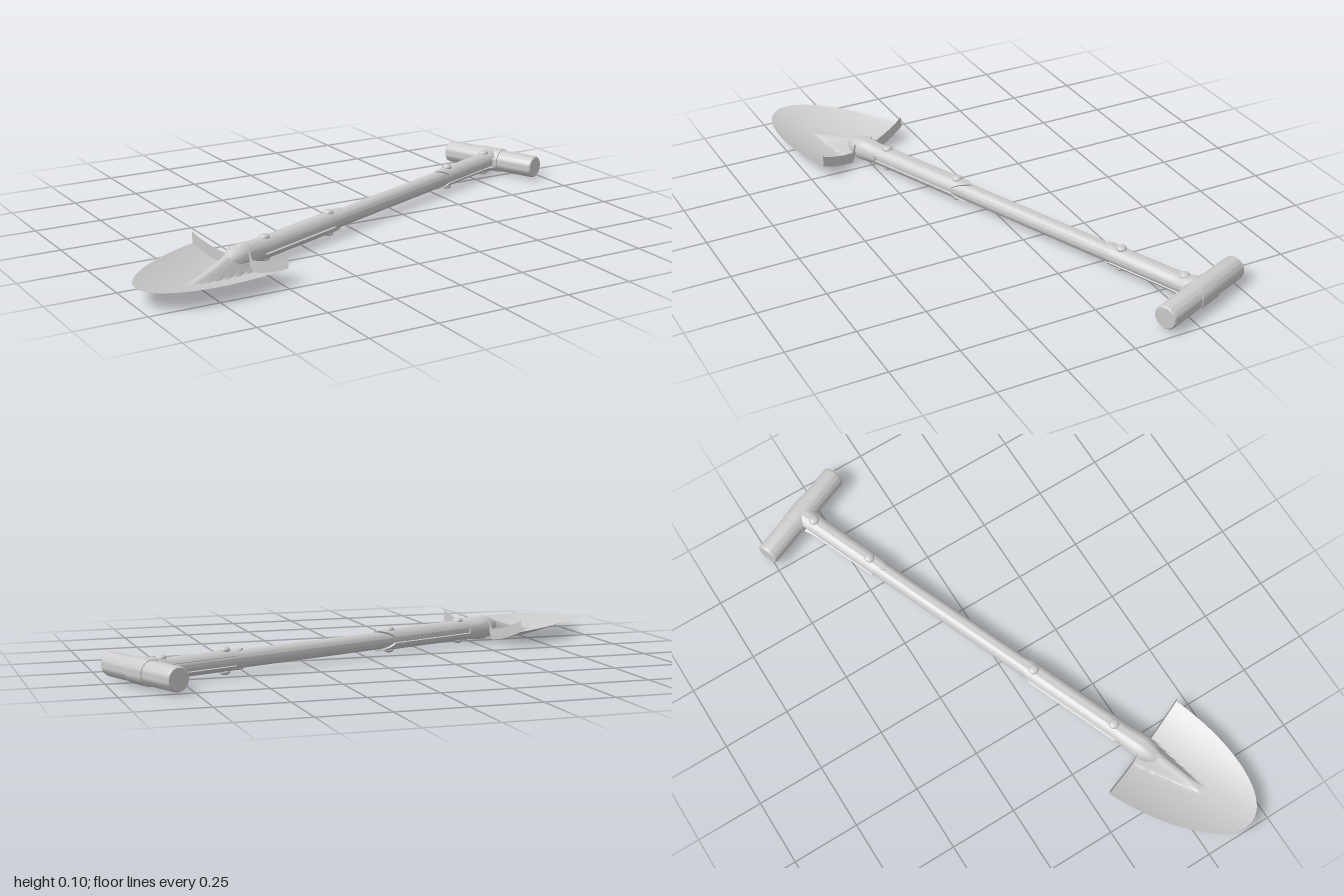
import * as THREE from 'three';
import { toCreasedNormals } from 'three/addons/utils/BufferGeometryUtils.js';

const AXIS_Y = 0.052, SHAFT_R = 0.032;
const mat = new THREE.MeshStandardMaterial({ color: 0xcccccc });
const sheetMat = new THREE.MeshStandardMaterial({ color: 0xcccccc, side: THREE.DoubleSide });

// Surface through an nu x nv grid of points given by fn(i, j)
function grid(nu, nv, fn) {
  const pos = [], idx = [];
  for (let i = 0; i <= nu; i++) {
    for (let j = 0; j <= nv; j++) {
      pos.push(...fn(i, j));
      if (i < nu && j < nv) {
        const a = i * (nv + 1) + j, b = a + nv + 1;
        idx.push(a, a + 1, b, b, a + 1, b + 1);
      }
    }
  }
  const g = new THREE.BufferGeometry();
  g.setAttribute('position', new THREE.Float32BufferAttribute(pos, 3));
  g.setIndex(idx);
  return toCreasedNormals(g, 0.7);
}

// Round body along the shaft from [radius, distance] pairs
function turned(points) {
  const g = new THREE.LatheGeometry(points.map(p => new THREE.Vector2(...p)), 32);
  return toCreasedNormals(g.rotateZ(-Math.PI / 2).translate(0, AXIS_Y, 0), 0.6);
}

// Part-round strap hugging the shaft; its border folds in to meet the wood
function strap(side, gap, from, to, radius) {
  const nu = 28, nv = 24;
  return grid(nu, nv, (i, j) => {
    const u = THREE.MathUtils.clamp((i - 1) / (nu - 2), 0, 1);
    const v = THREE.MathUtils.clamp((j - 1) / (nv - 2), 0, 1);
    const a = gap + (Math.PI - 2 * gap) * v;
    const c = Math.abs(Math.cos(a));
    const x = THREE.MathUtils.lerp(from(c), to(c), u);
    const border = i === 0 || i === nu || j === 0 || j === nv;
    const r = border ? SHAFT_R - 0.001 : radius(x);
    return [x, AXIS_Y + side * r * Math.sin(a), r * Math.cos(a)];
  });
}

// Blade: rounded outline, dished, with a hump running into the socket
const TIP = -1.08, REAR = -0.616;
const halfWidth = f => 0.213 * (0.92 * Math.sqrt(1 - (1 - f) ** 2) + 0.08 * f);
function bladePoint(f, u) {
  const w = halfWidth(f);
  const z = w * Math.sign(u) * Math.abs(u) ** 1.4;
  const base = 0.006 + 0.059 * (1 - f) ** 1.8;
  const edge = 0.065 - 0.008 * f;
  const dish = base + (edge - base) * (w > 0 ? (z / w) ** 2 : 0);
  const h = Math.max(0, (f - 0.43) / 0.57);
  const q = h > 0 ? Math.min(1, Math.abs(z) / (0.012 + 0.046 * h)) : 1;
  const hump = 0.092 * h ** 1.1 * (1 - q * q) ** 1.2;
  return [TIP + (REAR - TIP) * f, dish + hump, z];
}

export function createModel() {
  const shovel = new THREE.Group();
  shovel.name = 'shovel';
  const body = new THREE.Group();
  body.name = 'shovelBody';
  body.rotation.y = THREE.MathUtils.degToRad(22);
  body.position.set(0.011, 0, 0.028);
  shovel.add(body);

  const add = (name, geometry, material = mat) => {
    const m = new THREE.Mesh(geometry, material);
    m.name = name;
    body.add(m);
    return m;
  };

  // Blade and the upturned foot rest along its rear edge
  const NF = 48, NU = 56;
  add('blade', grid(NF, NU, (i, j) => bladePoint((i / NF) ** 1.7, 2 * j / NU - 1)), sheetMat);
  add('footRest', grid(1, NU, (i, j) => {
    const [x, y, z] = bladePoint(1, 2 * j / NU - 1);
    const rise = Math.abs(z) > 0.04 ? 0.042 : 0;
    return [x, Math.min(y + i * rise, 0.099), z];
  }), sheetMat);

  // Socket collar, then two long half shells with curved ends
  add('socket', turned([[0, -0.7], [0.022, -0.68], [0.037, -0.65], [0.045, -0.615],
    [0.044, -0.59], [0.04, -0.55], [0.039, -0.52], [0.031, -0.52]]));
  for (const side of [1, -1]) {
    const end = side > 0 ? 'upper' : 'lower';
    add(end + 'SocketStrap',
      strap(side, 0.28, () => -0.54, c => -0.065 - 0.075 * c ** 1.3, () => 0.039), sheetMat);
    // Short strap flaring into the grip collar
    add(end + 'GripStrap',
      strap(side, 0.5, c => 0.535 + 0.055 * c, () => 0.93,
        x => 0.037 + 0.008 * THREE.MathUtils.smoothstep(x, 0.84, 0.92)), sheetMat);
  }

  // Wooden shaft
  add('shaft', turned([[0, -0.62], [SHAFT_R, -0.62], [SHAFT_R, 0.93], [0, 0.93]]));

  // Cross grip with slightly rounded ends, and its collar
  const gripProfile = [[0, -0.203], [0.038, -0.203], [0.042, -0.199], [0.043, -0.193],
    [0.043, 0.193], [0.042, 0.199], [0.038, 0.203], [0, 0.203]];
  const collarProfile = [[0.042, -0.05], [0.046, -0.049], [0.047, -0.04],
    [0.047, 0.04], [0.046, 0.049], [0.042, 0.05]];
  for (const [name, profile] of [['grip', gripProfile], ['gripCollar', collarProfile]]) {
    const g = new THREE.LatheGeometry(profile.map(p => new THREE.Vector2(...p)), 36);
    add(name, toCreasedNormals(g.rotateX(Math.PI / 2), 0.7)).position.set(0.939, AXIS_Y, 0);
  }

  // Rivets above and below
  const rivet = new THREE.SphereGeometry(0.019, 20, 12).scale(1, 0.6, 1);
  for (const x of [-0.487, -0.135, 0.613, 0.873]) {
    for (const side of [1, -1]) {
      add('rivet', rivet).position.set(x, AXIS_Y + side * 0.038, 0);
    }
  }
  return shovel;
}
